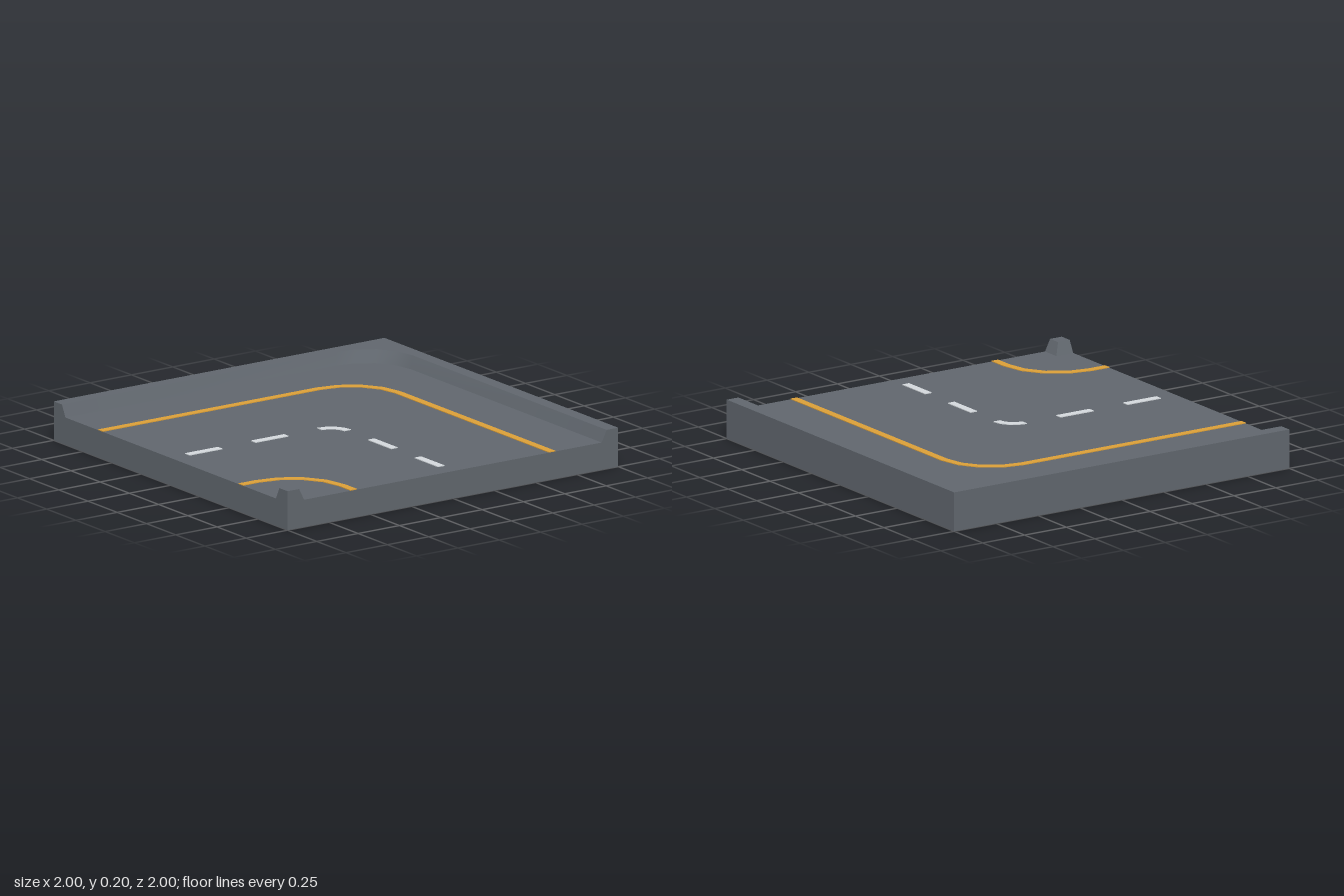
import * as THREE from 'three';
import { toCreasedNormals } from 'three/addons/utils/BufferGeometryUtils.js';

const FLOOR = 0.14, TOP = 0.2, SLOPE = 0.03, STEPS = 4;

// Points [x, z] of a path that comes up from +z and turns a rounded corner towards +x
function cornerPath(edge, radius, center, end = 1) {
  const points = [];
  if (center < end) points.push([edge, end]);
  for (let i = 0; i <= STEPS; i++) {
    const a = (i / STEPS) * Math.PI / 2;
    points.push([center - radius * Math.cos(a), center - radius * Math.sin(a)]);
  }
  if (center < end) points.push([end, edge]);
  return points;
}

// Solid curb lofted between an outer rail, a top inner rail and a foot rail
function curb(outer, inner, foot) {
  const sections = outer.map(([x, z], i) => [
    [x, FLOOR, z], [x, TOP, z],
    [inner[i][0], TOP, inner[i][1]], [foot[i][0], FLOOR, foot[i][1]],
  ]);
  const pos = [];
  const tri = (...corners) => corners.forEach(c => pos.push(...c));
  for (let i = 0; i < sections.length - 1; i++) {
    const a = sections[i], b = sections[i + 1];
    for (let j = 0; j < 3; j++) {
      tri(a[j], a[j + 1], b[j]);
      tri(a[j + 1], b[j + 1], b[j]);
    }
  }
  const s = sections[0], e = sections[sections.length - 1];
  tri(s[0], s[2], s[1]); tri(s[0], s[3], s[2]);
  tri(e[0], e[1], e[2]); tri(e[0], e[2], e[3]);
  const geo = new THREE.BufferGeometry();
  geo.setAttribute('position', new THREE.Float32BufferAttribute(pos, 3));
  geo.computeVertexNormals();
  return toCreasedNormals(geo, 0.5);
}

// Thin painted strip between two paths on the floor
function strip(outer, inner) {
  const outline = [...outer, ...inner.slice().reverse()];
  const shape = new THREE.Shape(outline.map(([x, z]) => new THREE.Vector2(x, -z)));
  return new THREE.ExtrudeGeometry(shape, { depth: 0.004, bevelEnabled: false })
    .rotateX(-Math.PI / 2).translate(0, FLOOR, 0);
}

export function createModel() {
  const group = new THREE.Group();
  const material = (name, color) => {
    const m = new THREE.MeshStandardMaterial({ color });
    m.name = name;
    return m;
  };
  const asphalt = material('asphalt grey', 0x60666d);
  const yellow = material('line yellow', 0xdb9f38);
  const white = material('line white', 0xd3d8dc);
  const add = (name, geo, mat) => {
    const mesh = new THREE.Mesh(geo, mat);
    mesh.name = name;
    group.add(mesh);
  };

  // Road slab
  add('roadSlab', new THREE.BoxGeometry(2, FLOOR, 2).translate(0, FLOOR / 2, 0), asphalt);

  // Outer curb: square outside, rounded sloping inside
  const inner = cornerPath(-0.93, 0.27, -0.66);
  const foot = cornerPath(-0.93 + SLOPE, 0.27, -0.66 + SLOPE);
  const mid = (inner.length - 1) / 2;
  const outer = inner.map(([x, z], i) => i < mid ? [-1, z] : i > mid ? [x, -1] : [-1, -1]);
  add('outerCurb', curb(outer, inner, foot), asphalt);

  // Small curb block in the inside corner of the bend
  add('cornerCurb', curb(
    [[1, 1], [1, 1], [1, 1]],
    [[1, 0.93], [0.93, 0.93], [0.93, 1]],
    [[1, 0.9], [0.9, 0.9], [0.9, 1]],
  ), asphalt);

  // Yellow edge lines
  add('outerEdgeLine', strip(cornerPath(-0.62, 0.3, -0.32), cornerPath(-0.58, 0.26, -0.32)), yellow);
  add('innerEdgeLine', strip(cornerPath(0.58, 0.32, 0.9), cornerPath(0.62, 0.28, 0.9)), yellow);

  // White centre dashes and the curved dash at the bend
  for (const d of [0.4, 0.8]) {
    add('centreDashFront', new THREE.BoxGeometry(0.04, 0.004, 0.2).translate(0, FLOOR + 0.002, d), white);
    add('centreDashLeft', new THREE.BoxGeometry(0.2, 0.004, 0.04).translate(d, FLOOR + 0.002, 0), white);
  }
  add('centreDashCurve', strip(cornerPath(-0.02, 0.12, 0.1, 0.1), cornerPath(0.02, 0.08, 0.1, 0.1)), white);

  return group;
}
